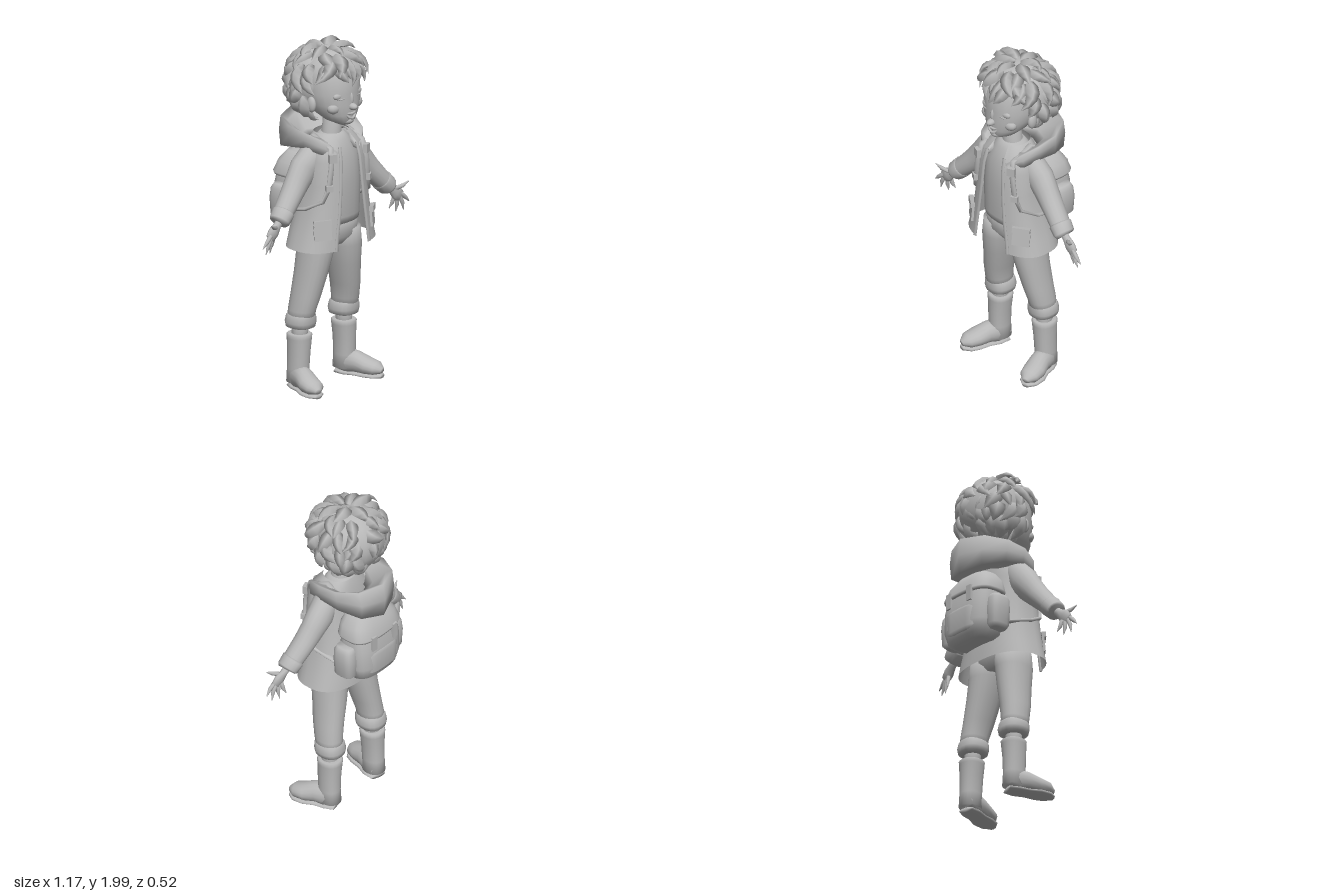
import * as THREE from 'three';
import { mergeGeometries } from 'three/addons/utils/BufferGeometryUtils.js';

const V = (x, y, z) => new THREE.Vector3(x, y, z);
const gray = new THREE.MeshStandardMaterial({ color: 0xb8b8b8, side: THREE.DoubleSide });
gray.name = 'plain gray';

// Skin a list of equal-length rings; winding is set so the volume is positive
function loft(rings, { closed = true, cap = true } = {}) {
  const n = rings[0].length, pos = [], tri = [];
  rings.forEach(r => r.forEach(p => pos.push(p)));
  for (let i = 0; i < rings.length - 1; i++) {
    for (let j = 0; j < (closed ? n : n - 1); j++) {
      const a = i * n + j, b = i * n + (j + 1) % n;
      tri.push([a, b, b + n], [a, b + n, a + n]);
    }
  }
  if (cap) {
    [0, rings.length - 1].forEach(i => {
      const c = pos.length;
      pos.push(rings[i].reduce((s, p) => s.add(p), V(0, 0, 0)).divideScalar(n));
      for (let j = 0; j < n; j++) {
        const a = i * n + j, b = i * n + (j + 1) % n;
        tri.push(i ? [a, b, c] : [b, a, c]);
      }
    });
  }
  const mid = pos.reduce((s, p) => s.add(p), V(0, 0, 0)).divideScalar(pos.length);
  let vol = 0;
  const q = i => pos[i].clone().sub(mid);
  tri.forEach(([a, b, c]) => { vol += q(a).dot(q(b).cross(q(c))); });
  if (vol < 0) tri.forEach(t => t.reverse());
  const g = new THREE.BufferGeometry().setFromPoints(pos);
  g.setIndex(tri.flat());
  g.computeVertexNormals();
  return g;
}

// Horizontal rounded ring; "open" leaves a front gap of that half width
function oval([y, cx, cz, rx, rz], p = 2, n = 20, open = 0) {
  const pw = v => Math.sign(v) * Math.abs(v) ** (2 / p);
  const a0 = open ? Math.asin((open / rx) ** (p / 2)) : 0;
  return Array.from({ length: n }, (_, i) => {
    const t = open ? a0 + (2 * Math.PI - 2 * a0) * i / (n - 1) : 2 * Math.PI * i / n;
    return V(cx + rx * pw(Math.sin(t)), y, cz + rz * pw(Math.cos(t)));
  });
}
const stack = (rows, p, n) => loft(rows.map(r => oval(r, p, n)));

// Tube along points with two radii per point: across (ref x tangent) and along ref
function limb(pts, radii, n = 12, ref = V(0, 0, 1)) {
  return loft(pts.map((p, i) => {
    const t = pts[Math.min(i + 1, pts.length - 1)].clone().sub(pts[Math.max(i - 1, 0)]).normalize();
    const a = ref.clone().cross(t).normalize(), b = t.clone().cross(a);
    return Array.from({ length: n }, (_, k) => {
      const f = 2 * Math.PI * k / n;
      return p.clone().addScaledVector(a, radii[i][0] * Math.cos(f)).addScaledVector(b, radii[i][1] * Math.sin(f));
    });
  }));
}
const ball = (x, y, z, rx, ry, rz) => new THREE.SphereGeometry(1, 16, 12).scale(rx, ry, rz).translate(x, y, z);

let seed = 7;
const rnd = () => (seed = (seed * 16807) % 2147483647) / 2147483647;
const jit = a => (rnd() * 2 - 1) * a;

// One curved, pointed lock lying over the skull
function lock(th, phi, len, width, lift, twist) {
  const at = (t, f, s) => V(0.205 * s * Math.sin(t) * Math.sin(f), 0.19 * s * Math.cos(t), 0.185 * s * Math.sin(t) * Math.cos(f));
  const pts = [], c = V(0, 1.765, 0.02), N = 5;
  for (let i = 0; i <= N; i++) {
    const u = i / N;
    pts.push(at(th + len * u, phi + twist * u * u, 0.98 + lift * (0.75 * Math.sin(u * 2.2) + 0.35 * u * u)).add(c));
  }
  const prof = [0.5, 0.85, 1, 0.85, 0.5, 0.04];
  return loft(pts.map((p, i) => {
    const t = pts[Math.min(i + 1, N)].clone().sub(pts[Math.max(i - 1, 0)]).normalize();
    const s = t.clone().cross(p.clone().sub(c)).normalize(), o = s.clone().cross(t), w = width * prof[i];
    return [[1, 0], [0, 0.5], [-1, 0], [0, -0.35]].map(([x, y]) => p.clone().addScaledVector(s, x * w).addScaledVector(o, y * w));
  }));
}

export function createModel() {
  const model = new THREE.Group();
  const add = (name, g) => {
    const m = new THREE.Mesh(g, gray);
    m.name = name;
    model.add(m);
    return m;
  };

  // Head, neck and face
  add('head', stack([[1.535, 0, 0.15, 0.03, 0.04], [1.56, 0, 0.125, 0.078, 0.09], [1.6, 0, 0.1, 0.118, 0.122],
    [1.66, 0, 0.075, 0.15, 0.15], [1.72, 0, 0.06, 0.162, 0.16], [1.8, 0, 0.04, 0.165, 0.178],
    [1.88, 0, 0.03, 0.15, 0.15], [1.94, 0, 0.02, 0.08, 0.09]], 2.1, 24));
  add('neck', stack([[1.4, 0, 0.06, 0.085, 0.075], [1.46, 0, 0.065, 0.055, 0.055], [1.58, 0, 0.075, 0.05, 0.055]]));
  add('nose', ball(0, 1.648, 0.225, 0.022, 0.02, 0.034));
  add('noseBridge', ball(0, 1.69, 0.212, 0.012, 0.04, 0.018));
  const smile = (y, dip, r) => limb([-2, -1, 0, 1, 2].map(i =>
    V(i * 0.022, y - dip * (1 - i * i / 4), 0.224 - 0.0042 * i * i)), [0.3, 1, 1, 1, 0.3].map(k => [r * k, r * k]), 8);
  add('upperLip', smile(1.615, 0.008, 0.007));
  add('lowerLip', smile(1.613, 0.034, 0.008));
  add('chin', ball(0, 1.562, 0.185, 0.04, 0.025, 0.036));

  // Hair: skull cap plus rows of locks radiating from the crown
  add('hairCap', ball(0, 1.765, -0.02, 0.2, 0.195, 0.18));
  const locks = [];
  [[0.12, 6], [0.5, 11], [0.85, 15], [1.2, 17], [1.55, 17], [1.9, 16], [2.2, 13]].forEach(([th, n], row) => {
    for (let i = 0; i < n; i++) {
      const phi = (i + 0.5 * (row % 2)) / n * 2 * Math.PI + jit(0.12);
      const front = Math.cos(phi);
      const faceEdge = th > 1.8 ? 0.15 : th > 1.4 ? 0.3 : 0.5;
      if (th > 1 && front > faceEdge) continue;
      const bangs = th > 0.8 && front > 0.5;
      locks.push(lock(th + jit(0.08), phi, bangs ? 0.58 : 0.62 + jit(0.12),
        0.04 + jit(0.009), 0.2 + jit(0.06), jit(0.45)));
    }
  });
  locks.push(lock(0.75, 0.15, 0.8, 0.035, 0.2, -0.2), lock(0.7, -0.5, 0.7, 0.04, 0.22, -0.5), lock(0.7, 0.6, 0.7, 0.04, 0.22, 0.5));
  add('hairLocks', mergeGeometries(locks));

  // Shirt and hips
  add('shirt', stack([[0.96, 0, 0.06, 0.175, 0.12], [1.0, 0, 0.065, 0.175, 0.125], [1.2, 0, 0.07, 0.165, 0.13],
    [1.36, 0, 0.07, 0.15, 0.12], [1.44, 0, 0.065, 0.1, 0.085], [1.47, 0, 0.065, 0.065, 0.065]], 2.3, 24));
  add('hips', stack([[0.82, 0, 0.05, 0.1, 0.07], [0.87, 0, 0.05, 0.185, 0.108], [0.97, 0, 0.055, 0.175, 0.112]], 2.3, 24));

  // Open coat, gap half-width given last
  const coatRows = [[0.835, 0, 0.06, 0.28, 0.18, 0.13], [0.92, 0, 0.062, 0.255, 0.175, 0.12], [1.05, 0, 0.07, 0.22, 0.165, 0.1],
    [1.2, 0, 0.077, 0.197, 0.15, 0.085], [1.34, 0, 0.082, 0.19, 0.135, 0.075], [1.42, 0, 0.078, 0.165, 0.12, 0.068], [1.48, 0, 0.065, 0.1, 0.085, 0.05]];
  const coatRings = coatRows.map(r => oval(r, 2.5, 32, r[5]));
  add('coat', loft(coatRings, { closed: false, cap: false }));
  [0, 31].forEach(k => add('coatEdge', limb(coatRings.slice(0, 6).map(r => r[k]),
    Array(6).fill([0.012, 0.006]), 8)));

  // Lowered hood: one cross-section swept round the neck, low in front and deep behind
  const rim = [[0.085, 1.4, 0.2], [0.165, 1.47, 0.15], [0.205, 1.505, 0.05], [0.205, 1.52, -0.07], [0.14, 1.535, -0.19], [0, 1.545, -0.245]];
  const low = [[0.09, 1.355, 0.2], [0.175, 1.39, 0.14], [0.2, 1.41, 0.04], [0.19, 1.39, -0.08], [0.13, 1.355, -0.2], [0, 1.335, -0.25]];
  const section = (i, s) => {
    const r = V(...rim[i]), l = V(...low[i]), c = V(0, 1.45, 0.05);
    const ring = [l, l.clone().lerp(r, 0.5).add(V(0, 0, i > 3 ? -0.012 : 0)), r,
      r.clone().lerp(c, 0.14).add(V(0, -0.012, 0)), r.clone().lerp(c, 0.4).setY(1.455 - (i > 3 ? 0.02 : 0)),
      l.clone().lerp(c, 0.55).setY(1.4)];
    if (i === 0) ring.forEach(p => p.lerp(V(0.085, 1.385, 0.195), 0.35));
    return ring.map(p => V(p.x * s, p.y, p.z));
  };
  add('hood', loft([...[0, 1, 2, 3, 4, 5].map(i => section(i, 1)), ...[4, 3, 2, 1, 0].map(i => section(i, -1))]));

  // Backpack with lid, roll and lid buckles
  add('backpack', stack([[0.93, 0, -0.14, 0.12, 0.07], [0.95, 0, -0.145, 0.16, 0.1], [1.02, 0, -0.15, 0.178, 0.112],
    [1.14, 0, -0.145, 0.18, 0.11], [1.25, 0, -0.135, 0.165, 0.095], [1.31, 0, -0.125, 0.14, 0.08], [1.34, 0, -0.12, 0.09, 0.05]], 3, 28));
  add('backpackLid', stack([[1.2, 0, -0.14, 0.183, 0.112], [1.215, 0, -0.14, 0.19, 0.118], [1.28, 0, -0.13, 0.17, 0.1],
    [1.335, 0, -0.12, 0.12, 0.07]], 3, 28));
  add('backpackFrontPocket', stack([[0.97, 0, -0.2, 0.1, 0.05], [0.99, 0, -0.205, 0.12, 0.06],
    [1.1, 0, -0.205, 0.12, 0.06], [1.13, 0, -0.2, 0.11, 0.05]], 3.5));

  for (const s of [1, -1]) {
    const P = a => a.map(([x, y, z]) => V(s * x, y, z));
    const S = (rows, p) => stack(rows.map(([y, x, ...r]) => [y, s * x, ...r]), p);

    // Face sides
    add('ear', ball(s * 0.17, 1.665, 0.075, 0.02, 0.045, 0.03));
    add('closedEyelid', ball(s * 0.07, 1.715, 0.186, 0.04, 0.022, 0.02));
    add('lashLine', limb(P([[0.03, 1.71, 0.208], [0.05, 1.7, 0.21], [0.075, 1.696, 0.205], [0.1, 1.705, 0.188]]),
      [0.002, 0.005, 0.005, 0.002].map(r => [r, r]), 6));
    add('cheek', ball(s * 0.085, 1.645, 0.165, 0.045, 0.035, 0.035));

    // Sleeve with rolled cuff
    add('sleeve', limb(P([[0.12, 1.385, 0.055], [0.2, 1.295, 0.045], [0.255, 1.235, 0.05], [0.31, 1.175, 0.058],
      [0.385, 1.098, 0.072], [0.43, 1.052, 0.078]]), [[0.075, 0.07], [0.09, 0.072], [0.077, 0.066], [0.066, 0.064], [0.056, 0.06], [0.05, 0.055]], 16));
    add('sleeveCuff', limb(P([[0.385, 1.098, 0.072], [0.393, 1.09, 0.073], [0.43, 1.052, 0.08], [0.44, 1.042, 0.08]]),
      [[0.052, 0.058], [0.06, 0.066], [0.056, 0.062], [0.045, 0.052]], 16));

    // Hand
    add('palm', limb(P([[0.42, 1.06, 0.08], [0.455, 1.03, 0.085], [0.49, 1.0, 0.09], [0.52, 0.972, 0.092]]),
      [[0.024, 0.022], [0.025, 0.02], [0.04, 0.02], [0.035, 0.014]], 10));
    [[[0.475, 1.025, 0.095], [0.515, 1.04, 0.118], [0.55, 1.062, 0.132]],
      [[0.52, 0.99, 0.098], [0.555, 0.958, 0.102], [0.585, 0.928, 0.1]],
      [[0.513, 0.978, 0.093], [0.537, 0.93, 0.095], [0.55, 0.885, 0.09]],
      [[0.498, 0.97, 0.088], [0.505, 0.925, 0.084], [0.503, 0.88, 0.075]],
      [[0.482, 0.975, 0.082], [0.478, 0.938, 0.072], [0.465, 0.905, 0.06]]].forEach((f, i) =>
      add(i ? 'finger' : 'thumb', limb(P(f), [[0.013, 0.012], [0.012, 0.011], [0.002, 0.002]], 7, V(0.1, 0.1, 1))));

    // Trouser leg, turned-up cuff and ankle
    add('trouserLeg', S([[0.9, 0.1, 0.05, 0.095, 0.105], [0.8, 0.112, 0.048, 0.093, 0.108], [0.68, 0.13, 0.035, 0.083, 0.1],
      [0.55, 0.156, 0.02, 0.074, 0.09], [0.46, 0.172, 0.005, 0.068, 0.082], [0.39, 0.174, -0.005, 0.07, 0.075]], 2.2));
    add('trouserCuff', S([[0.355, 0.172, -0.006, 0.056, 0.062], [0.362, 0.172, -0.007, 0.075, 0.08], [0.39, 0.172, -0.006, 0.083, 0.084],
      [0.425, 0.172, -0.002, 0.076, 0.082], [0.44, 0.172, 0, 0.064, 0.075]], 2.4));
    add('ankle', S([[0.28, 0.178, -0.008, 0.046, 0.046], [0.38, 0.174, -0.006, 0.046, 0.046]]));

    // Boot: shaft, then an outward-turned foot and sole
    add('bootShaft', S([[0.04, 0.185, -0.015, 0.058, 0.066], [0.12, 0.185, -0.012, 0.056, 0.064], [0.22, 0.182, -0.01, 0.06, 0.066],
      [0.295, 0.178, -0.01, 0.066, 0.07], [0.315, 0.178, -0.01, 0.068, 0.072], [0.322, 0.178, -0.01, 0.06, 0.064]], 2.2));
    const foot = [[0.175, 0.055, -0.055], [0.19, 0.075, 0], [0.21, 0.075, 0.06], [0.232, 0.06, 0.12], [0.247, 0.053, 0.175], [0.256, 0.045, 0.21]];
    add('bootFoot', limb(P(foot), [[0.045, 0.035], [0.058, 0.075], [0.058, 0.062], [0.064, 0.05], [0.055, 0.04], [0.02, 0.016]], 16, V(0, 1, 0)));
    add('bootSole', limb(P(foot.map(([x, , z]) => [x, 0.014, z])),
      [[0.046, 0.014], [0.06, 0.014], [0.055, 0.012], [0.066, 0.014], [0.057, 0.014], [0.022, 0.012]], 12, V(0, 1, 0)));

    // Coat pocket with flap
    for (const [name, y, h, d] of [['coatPocket', 0.955, 0.1, 0.014], ['coatPocketFlap', 1.005, 0.03, 0.026]]) {
      const m = add(name, new THREE.BoxGeometry(0.1, h, d));
      m.position.set(s * 0.198, y, 0.187);
      m.rotation.set(-0.12, s * 0.65, 0);
    }

    // Backpack side pocket, shoulder strap and buckles
    add('backpackSidePocket', S([[0.965, 0.185, -0.13, 0.03, 0.045], [0.985, 0.19, -0.135, 0.045, 0.062], [1.08, 0.192, -0.135, 0.05, 0.066],
      [1.14, 0.19, -0.132, 0.047, 0.062], [1.165, 0.185, -0.13, 0.035, 0.05]], 2.8));
    add('shoulderStrap', limb(P([[0.12, 1.4, -0.06], [0.125, 1.47, 0.05], [0.125, 1.42, 0.18], [0.14, 1.32, 0.198], [0.152, 1.2, 0.193],
      [0.178, 1.12, 0.172], [0.215, 1.07, 0.08], [0.19, 1.03, -0.06]]), Array(8).fill([0.011, 0.02]), 8, V(1, 0, 0.01)));
    add('strapBuckle', new THREE.BoxGeometry(0.045, 0.05, 0.025).rotateY(s * 0.4).translate(s * 0.135, 1.37, 0.203));
    add('strapToggle', new THREE.BoxGeometry(0.04, 0.035, 0.025).rotateY(s * 0.5).translate(s * 0.158, 1.2, 0.2));
    add('lidBuckle', new THREE.BoxGeometry(0.035, 0.09, 0.016).translate(s * 0.085, 1.185, -0.252));
  }
  return model;
}
